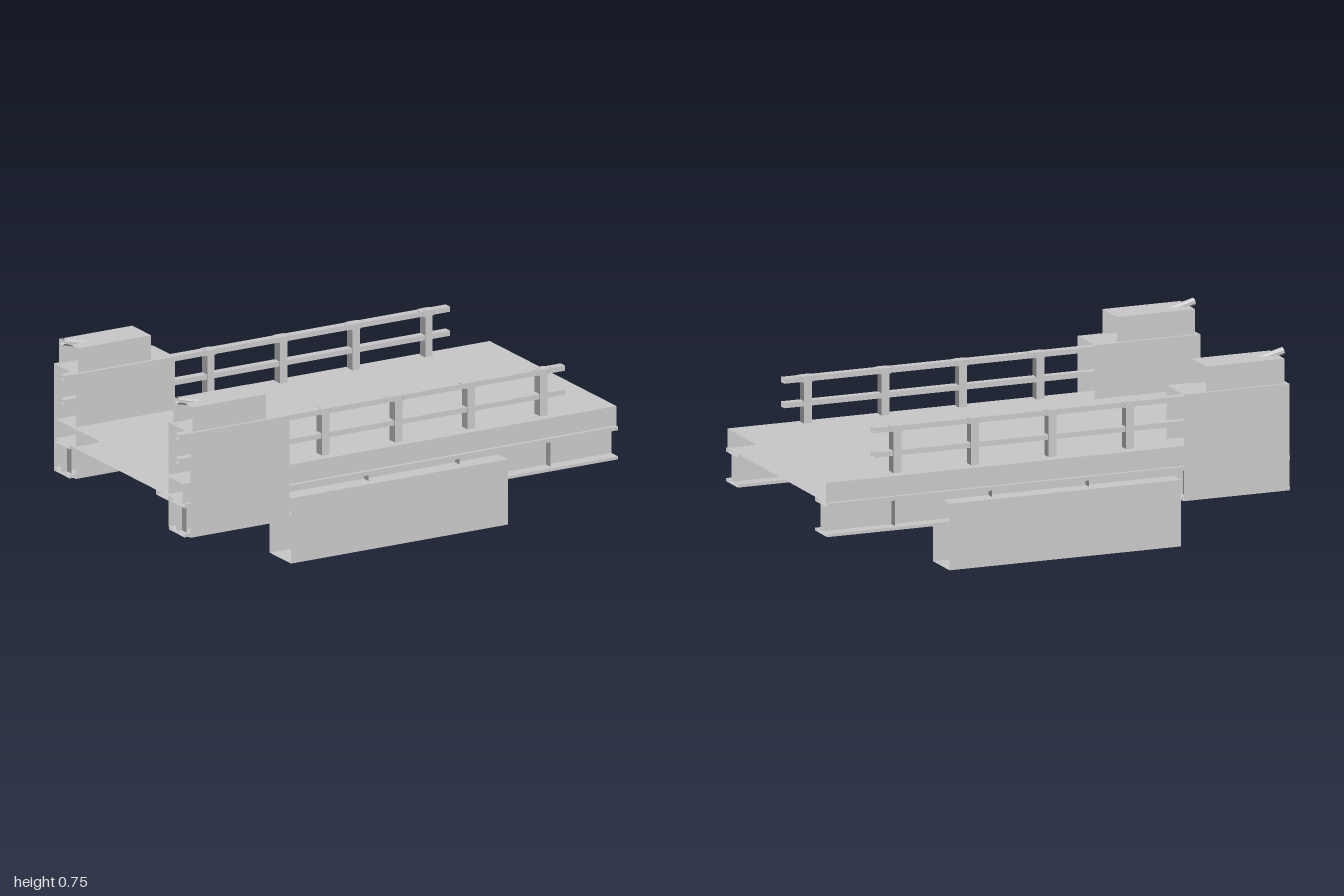
import * as THREE from 'three';

export function createModel() {
  const model = new THREE.Group();
  // Most parts are open hollow sections, so both sides show
  const grey = new THREE.MeshStandardMaterial({ color: 0xc8c8c8, side: THREE.DoubleSide });
  grey.name = 'plain grey';

  function add(parent, name, geometry, x, y, z) {
    const mesh = new THREE.Mesh(geometry, grey);
    mesh.name = name;
    mesh.position.set(x, y, z);
    parent.add(mesh);
    return mesh;
  }

  // Box given by its limits; openEnds leaves out the two faces across x
  function block(parent, name, [x0, x1], [y0, y1], [z0, z1], openEnds = true) {
    const geometry = new THREE.BoxGeometry(x1 - x0, y1 - y0, z1 - z0);
    if (openEnds) {
      geometry.setIndex(Array.from(geometry.index.array).slice(12));
      geometry.clearGroups();
    }
    add(parent, name, geometry, (x0 + x1) / 2, (y0 + y1) / 2, (z0 + z1) / 2);
  }

  // Road deck
  block(model, 'deck', [-1, 1], [0.32, 0.4], [-0.493, 0.493]);

  for (const side of [1, -1]) {
    const group = new THREE.Group();
    group.name = side > 0 ? 'frontSide' : 'backSide';
    model.add(group);
    // Span between two distances from the centre line, on this side
    const span = (a, b) => (side > 0 ? [a, b] : [-b, -a]);

    // I-beam girder under the deck edge
    block(group, 'girderTopFlange', [-1, 1], [0.303, 0.319], span(0.387, 0.507));
    block(group, 'girderWeb', [-1, 1], [0.194, 0.303], span(0.441, 0.453));
    block(group, 'girderBottomFlange', [-1, 1], [0.182, 0.194], span(0.387, 0.507));

    // Stiffener plates across the girder
    for (const x of [-0.98, -0.56, -0.14, 0.28, 0.7]) {
      const plate = add(group, 'girderStiffener', new THREE.PlaneGeometry(0.082, 0.109),
        x, 0.2485, side * 0.447);
      plate.rotation.y = Math.PI / 2;
    }

    // Hanging side box
    block(group, 'sideBox', [-0.52, 0.48], [0, 0.272], span(0.36, 0.526));

    // Railing, with a small six-sided joint on top of each post
    for (const y of [0.475, 0.575]) {
      block(group, 'rail', [-1, 0.78], [y, y + 0.021], span(0.4295, 0.4645));
    }
    for (const x of [-0.325, 0.01, 0.345, 0.68]) {
      block(group, 'railPost', [x - 0.017, x + 0.017], [0.405, 0.597], span(0.4255, 0.4685), false);
      const joint = add(group, 'postJoint', new THREE.CylinderGeometry(0.045, 0.045, 0.0225, 6),
        x, 0.5855, side * 0.447);
      joint.geometry.rotateY(Math.PI / 6).rotateY(Math.PI / 3 * 0.5);
      joint.geometry.rotateY(Math.PI / 6).scale(1, 1, 0.54);
    }

    // End tower with its cap
    block(group, 'tower', [-0.987, -0.53], [0.185, 0.62], span(0.36, 0.532));
    block(group, 'towerCap', [-0.97, -0.632], [0.62, 0.722], span(0.373, 0.52));

    // Slanting open tube that pokes out of the cap
    const tube = new THREE.CylinderGeometry(0.0152, 0.0152, 0.171, 8, 1, true);
    tube.rotateY(Math.PI / 8);
    const rod = add(group, 'slantingTube', tube.toNonIndexed(), -0.914, 0.7145, side * 0.445);
    rod.geometry.computeVertexNormals();
    rod.rotation.z = Math.PI / 2 - 0.245;
  }
  return model;
}
